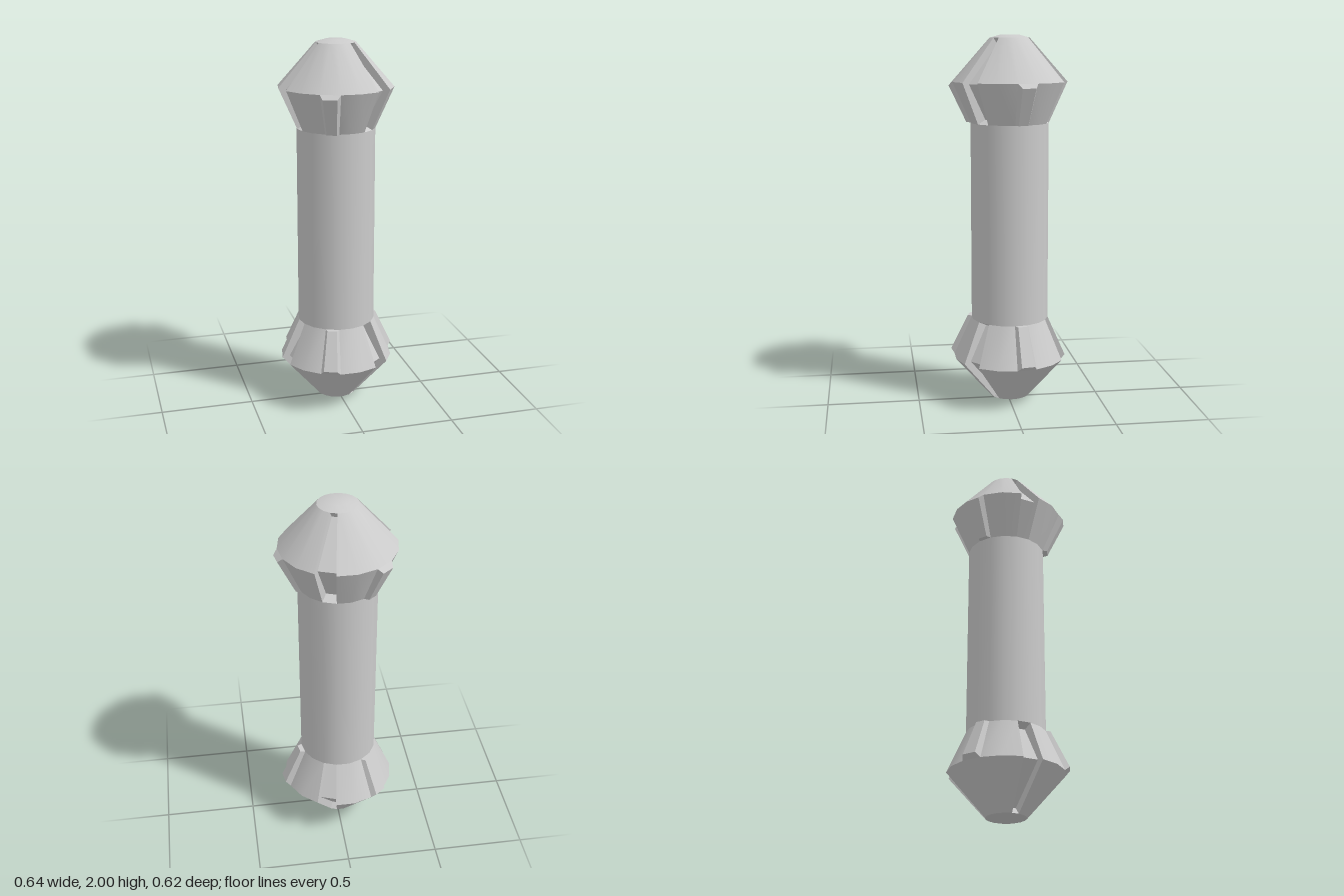
import * as THREE from 'three';
import { toCreasedNormals } from 'three/addons/utils/BufferGeometryUtils.js';

const SIDES = 18, STEP = 360 / SIDES;
const NECK = [0.21, 1.537], RIM = [0.308, 1.756], SHOULDER = [0.107, 1.985];
// Profiles as [radius, height], from the tip down to the neck
const TIP = [[0, 2], [0.054, 2], SHOULDER];
const FLOOR = [[0.082, 1.952], [0.267, 1.748], [0.162, 1.56]];

const material = new THREE.MeshStandardMaterial({ color: 0xcccccc });

function point([r, y], deg) {
  const a = THREE.MathUtils.degToRad(deg);
  return new THREE.Vector3(r * Math.cos(a), y, -r * Math.sin(a));
}

// Collects quads; the lower head is the upper one reflected about mid height
function makeBuilder(mirrored) {
  const pos = [];
  const tri = (a, b, c) => {
    for (const p of mirrored ? [a, c, b] : [a, b, c]) pos.push(p.x, mirrored ? 2 - p.y : p.y, p.z);
  };
  return {
    quad(a, b, c, d) {
      tri(a, b, c);
      if (a.distanceTo(d) > 1e-6) tri(a, c, d);
    },
    mesh(name) {
      const g = new THREE.BufferGeometry();
      g.setAttribute('position', new THREE.Float32BufferAttribute(pos, 3));
      const m = new THREE.Mesh(toCreasedNormals(g, Math.PI / 6), material);
      m.name = name;
      return m;
    },
  };
}

// Double-cone head with three recessed slots
function makeHeadShell(mirrored) {
  const b = makeBuilder(mirrored);
  for (let i = 0; i < SIDES; i++) {
    const a0 = i * STEP, a1 = a0 + STEP;
    const slot = i % 6 === 3;
    const profile = slot ? [...TIP, ...FLOOR, NECK] : [...TIP, RIM, NECK];
    for (let k = 0; k < profile.length - 1; k++) {
      const p = profile[k], q = profile[k + 1];
      b.quad(point(p, a0), point(q, a0), point(q, a1), point(p, a1));
    }
    if (!slot) continue;
    // slot side walls
    for (const wall of [[SHOULDER, RIM, FLOOR[1], FLOOR[0]], [RIM, NECK, FLOOR[2], FLOOR[1]]]) {
      b.quad(...wall.map((p) => point(p, a0)));
      b.quad(...[...wall].reverse().map((p) => point(p, a1)));
    }
  }
  return b.mesh('headShell');
}

// Tapered rib standing out from the lower cone of the head
function makeRib(mirrored, a0) {
  const b = makeBuilder(mirrored);
  const corners = (top, bottom, inset) => [
    point(top, a0 + inset), point(bottom, a0 + inset),
    point(bottom, a0 + STEP - inset), point(top, a0 + STEP - inset),
  ];
  const base = corners(RIM, NECK, 0);
  const outer = corners([0.329, 1.733], [0.234, 1.537], 3.6);
  b.quad(...outer);
  for (let k = 0; k < 4; k++) {
    const n = (k + 1) % 4;
    b.quad(base[k], base[n], outer[n], outer[k]);
  }
  return b.mesh('rib');
}

function makeHead(mirrored) {
  const head = new THREE.Group();
  head.name = mirrored ? 'lowerHead' : 'upperHead';
  head.add(makeHeadShell(mirrored));
  for (const deg of [0, 120, 240]) head.add(makeRib(mirrored, deg));
  return head;
}

export function createModel() {
  const model = new THREE.Group();
  model.name = 'doubleHeadedRod';

  // Straight shaft between the two heads
  const shaft = new THREE.Mesh(
    new THREE.CylinderGeometry(NECK[0], NECK[0], 2 * (NECK[1] - 1), SIDES, 1, true, Math.PI / 2),
    material,
  );
  shaft.name = 'shaft';
  shaft.position.y = 1;

  const rod = new THREE.Group();
  rod.name = 'rod';
  rod.add(shaft, makeHead(false), makeHead(true));
  // the ribs are uneven about the axis, so the axis sits slightly off centre
  rod.position.set(-0.01, 0, -0.009);
  model.add(rod);
  return model;
}
